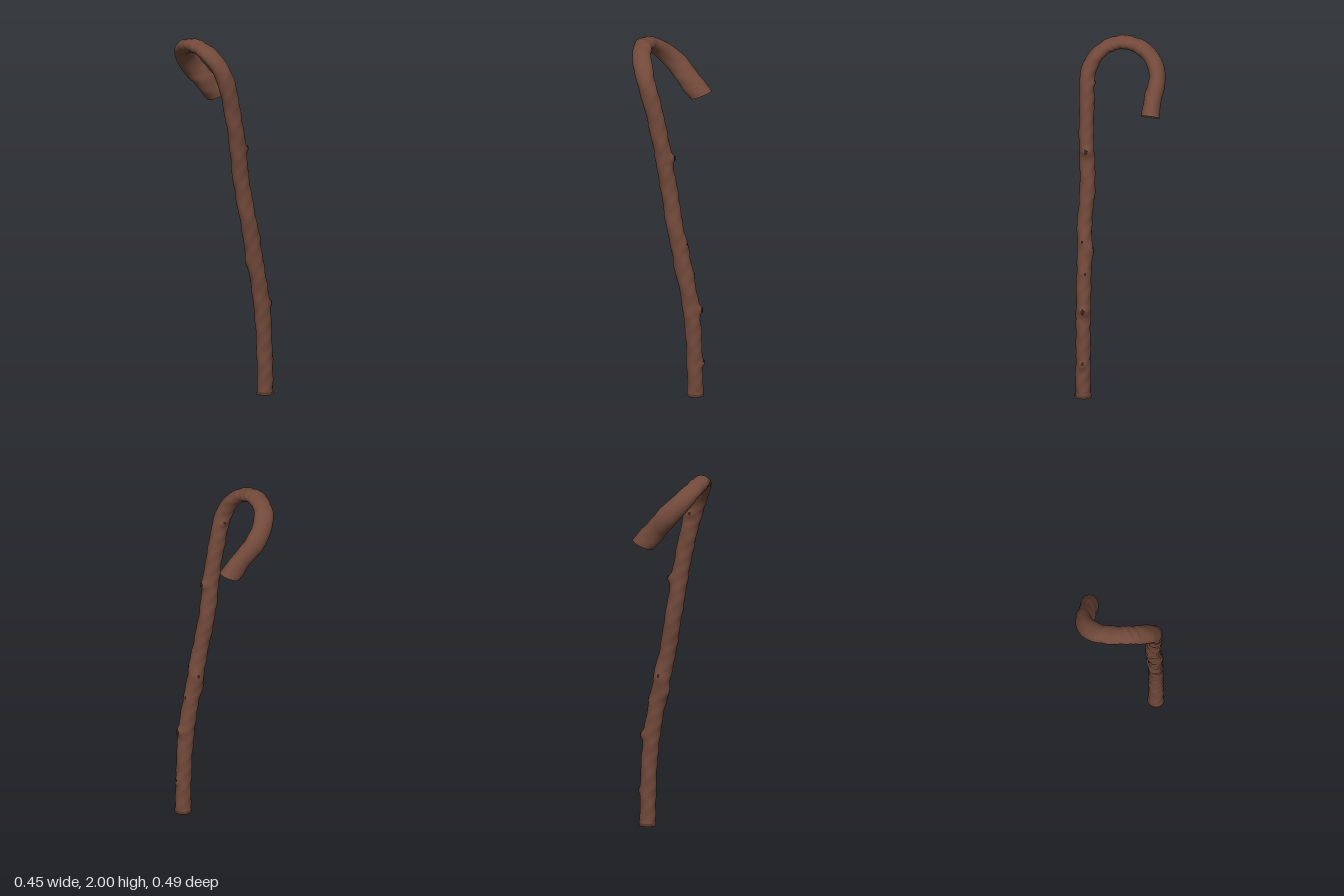
import * as THREE from 'three';

const mat = (name, color) => {
  const m = new THREE.MeshStandardMaterial({ color });
  m.name = name;
  return m;
};

// Centre line and cross-section: x, y, z, width radius, depth radius
const PATH = [
  [0.173, 0, 0.2, 0.046, 0.045], [0.172, 0.03, 0.2, 0.044, 0.042], [0.168, 0.25, 0.2, 0.045, 0.041],
  [0.15, 0.5, 0.2, 0.047, 0.041], [0.125, 0.65, 0.2, 0.047, 0.041], [0.096, 0.8, 0.198, 0.048, 0.042],
  [0.055, 1.0, 0.2, 0.047, 0.041], [0.02, 1.2, 0.187, 0.047, 0.043], [-0.008, 1.38, 0.195, 0.047, 0.042],
  [-0.048, 1.6, 0.199, 0.048, 0.041], [-0.098, 1.79, 0.197, 0.05, 0.042], [-0.13, 1.88, 0.163, 0.052, 0.041],
  [-0.16, 1.94, 0.095, 0.052, 0.037], [-0.172, 1.962, 0, 0.052, 0.036], [-0.157, 1.935, -0.1, 0.053, 0.04],
  [-0.105, 1.875, -0.167, 0.056, 0.045], [-0.035, 1.8, -0.192, 0.06, 0.047], [0.04, 1.715, -0.176, 0.061, 0.048],
  [0.114, 1.632, -0.166, 0.063, 0.052],
];
// Knots: height, angle round the shaft (0 = left side, PI/2 = back), bulge, spread
const KNOTS = [
  [0.19, 0, 0.011, 0.018], [0.5, 0, 0.02, 0.024], [0.83, 1.3, 0.009, 0.03], [0.7, 0.2, 0.006, 0.02],
  [0.87, -0.2, 0.005, 0.02], [1.38, 0, 0.018, 0.024], [1.75, 1.3, 0.009, 0.022], [0.76, 3.1, 0.007, 0.04],
];
const SIDES = 28, STEPS = 20;
const line = new THREE.CatmullRomCurve3(PATH.map(p => new THREE.Vector3(p[0], p[1], p[2])));
const radii = PATH.map(p => [p[3], p[4]]);
const RINGS = (PATH.length - 1) * STEPS;
const END_DIR = new THREE.Vector3(0.42, -0.9, 0.1).normalize();

// Frame of the stick at ring i; both ends are cut at fixed angles
function frame(i) {
  const u = i / RINGS, c = line.getPoint(u), t = line.getTangent(u);
  if (i < 8) t.lerp(new THREE.Vector3(0, 1, 0), 1 - i / 8).normalize();
  if (RINGS - i < 10) t.lerp(END_DIR, 1 - (RINGS - i) / 10).normalize();
  const w = new THREE.Vector3(1, 0, 0).addScaledVector(t, -t.x).normalize();
  const n = new THREE.Vector3().crossVectors(t, w);
  const k = Math.min(Math.floor(i / STEPS), PATH.length - 2), f = i / STEPS - k;
  const r = [0, 1].map(j => THREE.MathUtils.lerp(radii[k][j], radii[k + 1][j], f));
  return { c, w, n, r };
}

// Bark swelling: gentle lumps plus the knots
function swell(i, a, c) {
  const s = c.y * 1.0 + (c.z < 0.1 ? (0.2 - c.z) * 2 : 0);
  let d = 0.0013 * Math.sin(s * 37 + 2 * a) + 0.001 * Math.sin(s * 71 - 3 * a) + 0.0009 * Math.sin(s * 23 + a);
  d *= Math.min(1, i / 10, (RINGS - i) / 10);
  if (c.z > 0.12) for (const [y, ang, h, spread] of KNOTS) {
    const da = Math.atan2(Math.sin(a - ang), Math.cos(a - ang)) * 0.045;
    d += h * Math.exp(-((c.y - y) ** 2 + da * da) / (spread * spread));
  }
  return d;
}

function ring(i) {
  const { c, w, n, r } = frame(i), pts = [];
  for (let j = 0; j < SIDES; j++) {
    const a = j / SIDES * Math.PI * 2, d = swell(i, a, c);
    pts.push(c.clone().addScaledVector(w, Math.cos(a) * (r[0] + d)).addScaledVector(n, Math.sin(a) * (r[1] + d)));
  }
  return pts;
}

function surface(points, index) {
  const g = new THREE.BufferGeometry().setFromPoints(points);
  g.setIndex(index);
  g.computeVertexNormals();
  return g;
}

function barkGeometry() {
  const pts = [], idx = [];
  for (let i = 0; i <= RINGS; i++) pts.push(...ring(i));
  for (let i = 0; i < RINGS; i++) for (let j = 0; j < SIDES; j++) {
    const k = (j + 1) % SIDES, a = i * SIDES + j, b = i * SIDES + k;
    idx.push(a, b, b + SIDES, a, b + SIDES, a + SIDES);
  }
  return surface(pts, idx);
}

function capGeometry(i, flip) {
  const pts = [...ring(i), frame(i).c], idx = [];
  for (let j = 0; j < SIDES; j++) {
    const k = (j + 1) % SIDES;
    idx.push(SIDES, flip ? k : j, flip ? j : k);
  }
  return surface(pts, idx);
}

export function createModel() {
  const group = new THREE.Group();
  const bark = mat('bark brown', 0x71493a);
  const dark = mat('dark knot brown', 0x3a251c);
  const cut = mat('cut wood', 0x8c7d5e);
  const foot = mat('foot brown', 0x593629);
  const add = (name, geo, m) => {
    const mesh = new THREE.Mesh(geo, m);
    mesh.name = name;
    group.add(mesh);
    return mesh;
  };

  add('stick', barkGeometry(), bark);
  add('handleEnd', capGeometry(RINGS, false), cut);
  add('footFace', capGeometry(0, true), foot);

  // Slim rim round the foot
  const rim = add('footRim', new THREE.CylinderGeometry(0.046, 0.048, 0.016, SIDES, 1, true), foot);
  rim.position.set(0.173, 0.008, 0.2);

  // Dark scars at the tips of the knots
  for (const [y, ang, h] of KNOTS.slice(0, 7)) {
    let i = 0;
    while (line.getPoint(i / RINGS).y < y) i++;
    const { c, w, n, r } = frame(i), d = swell(i, ang, c);
    const scar = add('knotScar', new THREE.SphereGeometry(1, 10, 8), dark);
    scar.position.copy(c).addScaledVector(w, Math.cos(ang) * (r[0] + d - 0.002))
      .addScaledVector(n, Math.sin(ang) * (r[1] + d - 0.002));
    const size = 0.006 + h * 0.4;
    scar.scale.set(0.0035, size * 1.2, size * 0.8);
    scar.rotation.y = ang;
  }
  return group;
}
